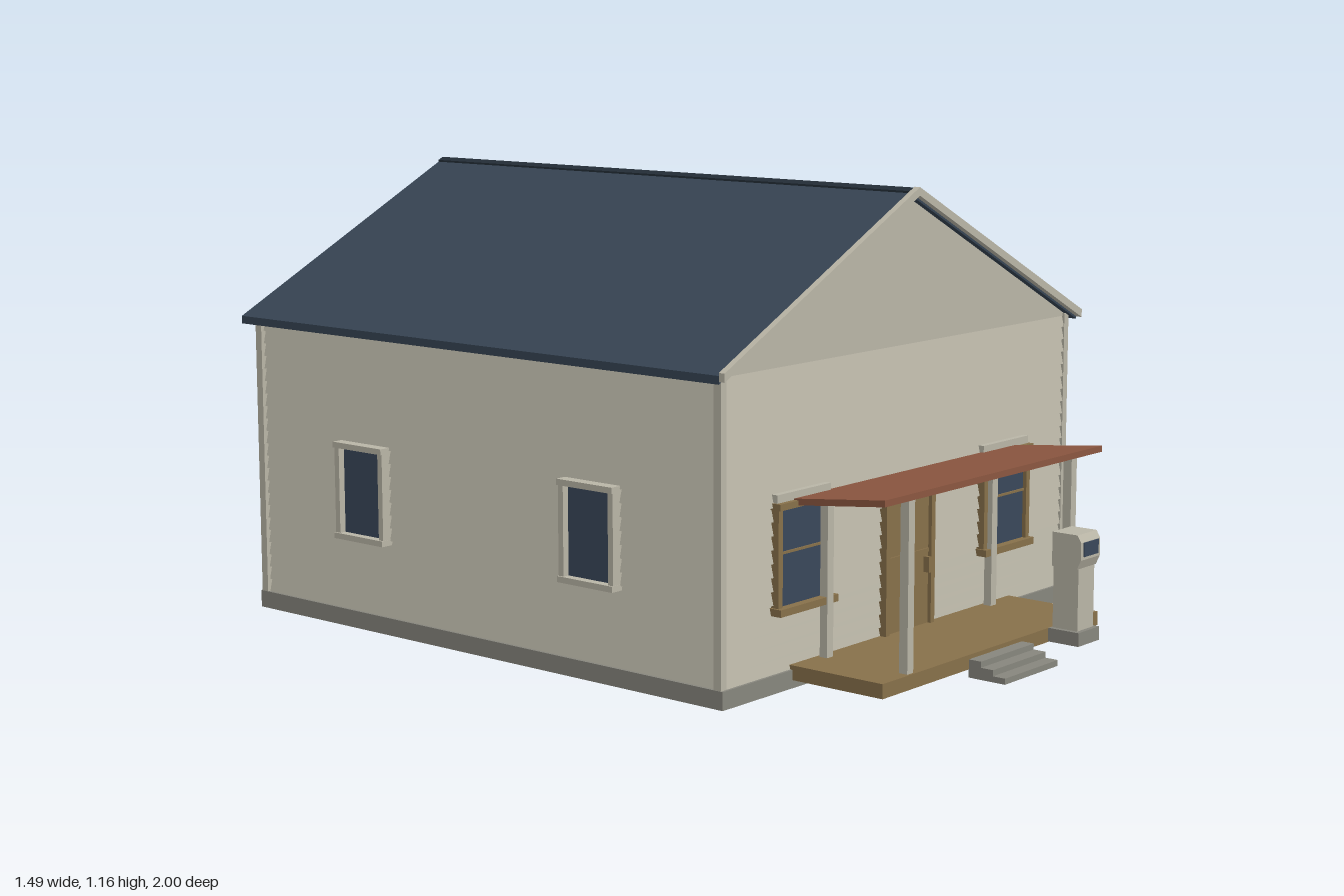
import * as THREE from 'three';

const mat = (name, color) => {
  const m = new THREE.MeshStandardMaterial({ color });
  m.name = name;
  return m;
};

export function createModel() {
  const model = new THREE.Group();
  model.name = 'house';
  const siding = mat('siding', 0xb9b5a6);
  const roofBlue = mat('roofBlue', 0x364453);
  const ridgeDark = mat('ridgeDark', 0x242e38);
  const concrete = mat('concrete', 0x87867d);
  const wood = mat('wood', 0x87704a);
  const rust = mat('rust', 0x8b5640);
  const copper = mat('copper', 0x7d4429);
  const glass = mat('glass', 0x39475a);

  const add = (name, geometry, material, parent = model) => {
    const mesh = new THREE.Mesh(geometry, material);
    mesh.name = name;
    parent.add(mesh);
    return mesh;
  };
  // Box given by its limits on each axis
  const box = (name, material, x0, x1, y0, y1, z0, z1, parent = model) => {
    const g = new THREE.BoxGeometry(x1 - x0, y1 - y0, z1 - z0);
    g.translate((x0 + x1) / 2, (y0 + y1) / 2, (z0 + z1) / 2);
    return add(name, g, material, parent);
  };
  const group = (name) => {
    const g = new THREE.Group();
    g.name = name;
    model.add(g);
    return g;
  };
  // Extruded outline between two depths
  const prism = (name, material, points, z0, z1, parent = model) => {
    const shape = new THREE.Shape(points.map(([x, y]) => new THREE.Vector2(x, y)));
    const g = new THREE.ExtrudeGeometry(shape, { depth: z1 - z0, bevelEnabled: false });
    g.translate(0, 0, z0);
    return add(name, g, material, parent);
  };

  // Foundation
  box('foundation', concrete, -0.725, 0.725, 0, 0.045, -0.975, 0.63);

  // Lapped siding: each course leans in towards its top
  const walls = group('walls');
  const rows = 22, rowHeight = 0.735 / rows, zMid = -0.172;
  for (let i = 0; i < rows; i++) {
    const g = new THREE.BoxGeometry(1.432, rowHeight, 1.59);
    const p = g.attributes.position;
    for (let k = 0; k < p.count; k++) {
      if (p.getY(k) > 0) {
        p.setX(k, p.getX(k) - Math.sign(p.getX(k)) * 0.008);
        p.setZ(k, p.getZ(k) - Math.sign(p.getZ(k)) * 0.008);
      }
    }
    g.computeVertexNormals();
    g.translate(0, 0.045 + (i + 0.5) * rowHeight, zMid);
    add('sidingCourse', g, siding, walls);
  }
  prism('gables', siding, [[-0.71, 0.775], [0.71, 0.775], [0.71, 0.784], [0, 1.139], [-0.71, 0.784]], -0.962, 0.618);
  for (const s of [-1, 1]) {
    for (const z of [-0.96, 0.613]) {
      box('cornerBoard', siding, s * 0.714 - 0.01, s * 0.714 + 0.01, 0.045, 0.782, z - 0.011, z + 0.011, walls);
    }
  }

  // Roof, front rake trim and ridge cap
  const chevron = (half, peak, thick) => {
    const eave = peak - half * 0.5;
    return [[-half, eave], [-half, eave - thick], [0, peak - thick], [half, eave - thick], [half, eave], [0, peak]];
  };
  prism('roof', roofBlue, chevron(0.745, 1.157, 0.02), -1, 0.635);
  prism('rakeTrim', siding, chevron(0.745, 1.164, 0.021), 0.635, 0.652);
  prism('ridgeCap', ridgeDark, chevron(0.016, 1.162, 0.008), -1, 0.635);

  // Chimney pipe
  add('chimneyPipe', new THREE.CylinderGeometry(0.013, 0.013, 0.22, 12), copper).position.set(0.478, 0.99, -0.253);

  // Side windows
  for (const s of [-1, 1]) {
    for (const z of [0.218, -0.569]) {
      const w = group('sideWindow');
      const part = (name, m, d, y0, y1, z0, z1) =>
        box(name, m, Math.min(s * 0.7, s * d), Math.max(s * 0.7, s * d), y0, y1, z + z0, z + z1, w);
      part('glass', glass, 0.722, 0.245, 0.475, -0.075, 0.075);
      part('frameTop', siding, 0.745, 0.472, 0.487, -0.089, 0.089);
      part('frameBottom', siding, 0.745, 0.234, 0.249, -0.089, 0.089);
      for (const e of [-1, 1]) part('frameSide', siding, 0.74, 0.249, 0.472, e * 0.08 - 0.008, e * 0.08 + 0.008);
    }
  }

  // Blank panel in the back wall
  const back = group('backPanel');
  box('panel', siding, -0.075, 0.075, 0.22, 0.455, -0.9685, -0.95, back);
  for (const e of [-1, 1]) {
    box('panelSide', siding, e * 0.075 - 0.004, e * 0.075 + 0.004, 0.22, 0.455, -0.976, -0.95, back);
    box('panelRail', siding, -0.079, 0.079, 0.3375 + e * 0.1175 - 0.004, 0.3375 + e * 0.1175 + 0.004, -0.976, -0.95, back);
  }

  // Front windows
  for (const s of [-1, 1]) {
    const w = group('frontWindow'), c = s * 0.425;
    box('glass', glass, c - 0.098, c + 0.098, 0.2, 0.45, 0.6, 0.627, w);
    box('sill', wood, c - 0.111, c + 0.111, 0.188, 0.206, 0.6, 0.65, w);
    box('header', wood, c - 0.108, c + 0.108, 0.441, 0.457, 0.6, 0.645, w);
    box('headBoard', siding, c - 0.103, c + 0.103, 0.457, 0.477, 0.6, 0.632, w);
    box('middleRail', wood, c - 0.095, c + 0.095, 0.332, 0.338, 0.6, 0.631, w);
    for (const e of [-1, 1]) box('jamb', wood, c + e * 0.097 - 0.008, c + e * 0.097 + 0.008, 0.206, 0.441, 0.6, 0.638, w);
  }

  // Front door
  const door = group('frontDoor');
  box('doorLeaf', wood, -0.09, 0.09, 0.055, 0.43, 0.6, 0.628, door);
  box('doorHeader', wood, -0.11, 0.11, 0.43, 0.445, 0.6, 0.645, door);
  box('doorRail', wood, -0.085, 0.085, 0.24, 0.25, 0.6, 0.632, door);
  for (const e of [-1, 1]) box('doorJamb', wood, e * 0.095 - 0.008, e * 0.095 + 0.008, 0.055, 0.43, 0.6, 0.638, door);
  box('doorHandle', wood, 0.068, 0.078, 0.19, 0.23, 0.62, 0.645, door);

  // Porch: deck, posts and a canopy falling back to the wall
  const porch = group('porch');
  box('deck', wood, -0.465, 0.465, 0.02, 0.056, 0.62, 0.895, porch);
  for (const x of [-0.348, 0.348]) {
    box('frontPost', siding, x - 0.012, x + 0.012, 0.056, 0.472, 0.865, 0.889, porch);
    box('wallPost', siding, x - 0.012, x + 0.012, 0.056, 0.447, 0.63, 0.652, porch);
  }
  const canopy = new THREE.BoxGeometry(0.93, 0.016, 0.275);
  const cp = canopy.attributes.position;
  for (let k = 0; k < cp.count; k++) cp.setY(k, cp.getY(k) + cp.getZ(k) * 0.11);
  canopy.computeVertexNormals();
  add('porchRoof', canopy, rust, porch).position.set(0, 0.466, 0.7595);

  // Front steps
  for (let i = 0; i < 3; i++) {
    box('step', concrete, -0.115, 0.115, i * 0.015, (i + 1) * 0.015, 0.895, 1 - i * 0.035);
  }

  // Pump beside the steps
  const pump = group('pump');
  box('pumpBase', concrete, 0.232, 0.328, 0.022, 0.057, 0.896, 0.985, pump);
  box('pumpBody', siding, 0.245, 0.318, 0.057, 0.22, 0.9, 0.973, pump);
  const head = prism('pumpHead', siding,
    [[0.9, 0.216], [0.973, 0.216], [0.984, 0.24], [0.984, 0.285], [0.973, 0.303], [0.9, 0.303]], -0.325, -0.237, pump);
  head.rotation.y = -Math.PI / 2;
  box('pumpScreen', glass, 0.248, 0.314, 0.248, 0.284, 0.98, 0.987, pump);
  return model;
}
